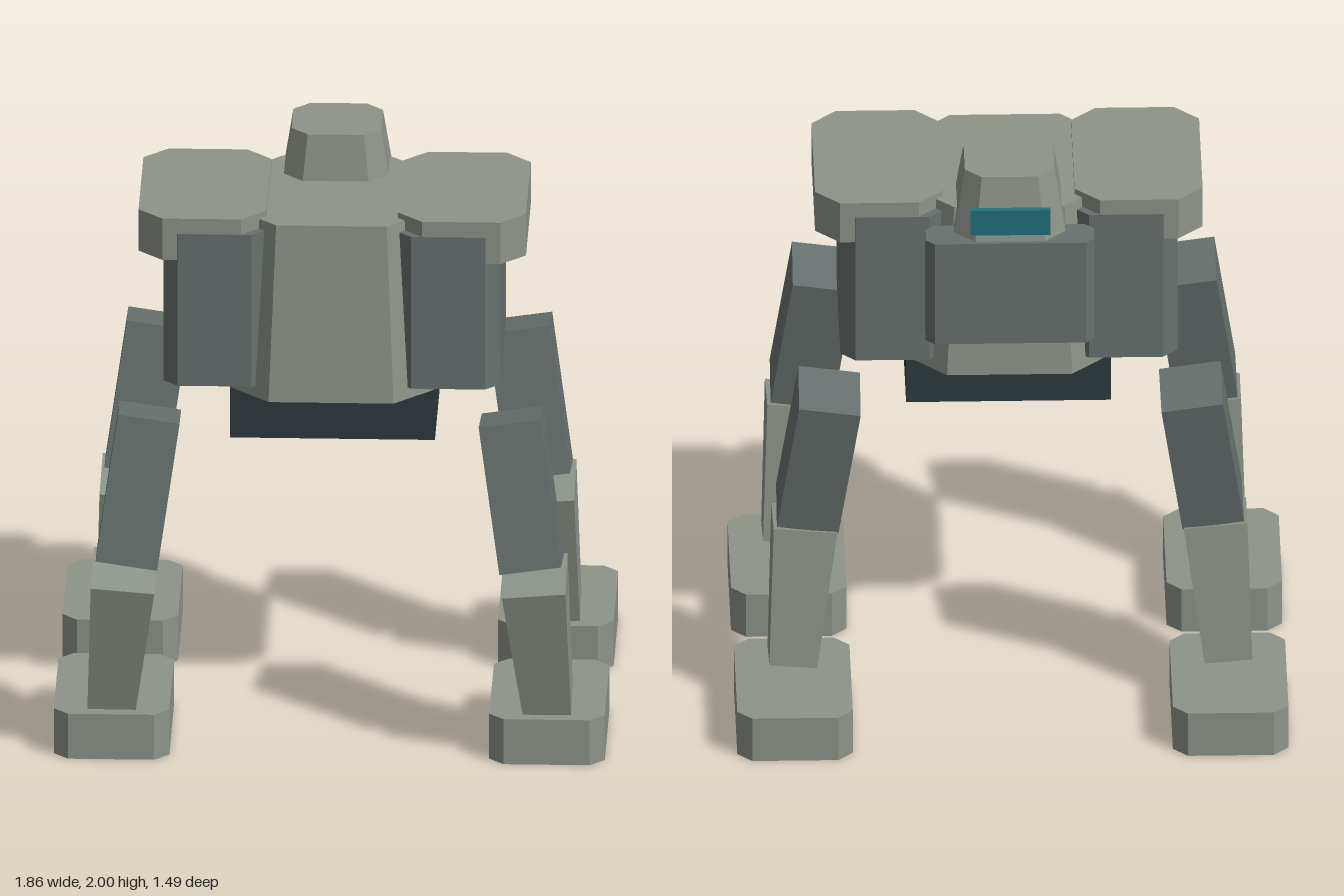
import * as THREE from 'three';

const paint = (color) => new THREE.MeshStandardMaterial({ color, flatShading: true });

export function createModel() {
  const model = new THREE.Group();
  const light = paint(0x8d9489), mid = paint(0x68716f), dark = paint(0x2e393e), teal = paint(0x22707c);

  // Upright block standing on y = 0, with cut vertical corners and a top scaled by taper.
  function block(w, h, d, cut = 0, taper = 1) {
    const x = w / 2, z = d / 2;
    let geo;
    if (cut > 0) {
      const corners = [
        [x - cut, -z], [x, -z + cut], [x, z - cut], [x - cut, z],
        [-x + cut, z], [-x, z - cut], [-x, -z + cut], [-x + cut, -z],
      ];
      const shape = new THREE.Shape(corners.map(([a, b]) => new THREE.Vector2(a, b)));
      geo = new THREE.ExtrudeGeometry(shape, { depth: h, bevelEnabled: false }).rotateX(-Math.PI / 2);
    } else {
      geo = new THREE.BoxGeometry(w, h, d).translate(0, h / 2, 0);
    }
    const p = geo.attributes.position;
    for (let i = 0; i < p.count; i++) {
      if (p.getY(i) > h / 2) {
        p.setX(i, p.getX(i) * taper);
        p.setZ(i, p.getZ(i) * taper);
      }
    }
    geo.computeVertexNormals();
    return geo;
  }

  function add(name, geo, material, x, y, z) {
    const mesh = new THREE.Mesh(geo, material);
    mesh.name = name;
    mesh.position.set(x, y, z);
    model.add(mesh);
    return mesh;
  }

  // Body
  add('pelvis', block(0.692, 0.24, 0.435), dark, 0, 1.03, 0.098);
  add('torso', block(0.682, 0.625, 0.725, 0.13, 0.885), light, 0, 1.215, 0.093);
  add('head', block(0.378, 0.24, 0.362, 0.07, 0.8), light, 0, 1.76, -0.166);
  add('visor', block(0.27, 0.095, 0.02), teal, 0, 1.81, -0.364);
  add('backpack', block(0.57, 0.385, 0.13, 0.03), mid, 0, 1.385, -0.295);

  // Limb segment whose axis runs between two points
  function limb(name, bottom, top, w, d, taper, material) {
    const axis = new THREE.Vector3().subVectors(top, bottom);
    const mesh = add(name, block(w, axis.length(), d, 0, taper), material, bottom.x, bottom.y, bottom.z);
    mesh.quaternion.setFromUnitVectors(new THREE.Vector3(0, 1, 0), axis.normalize());
  }

  for (const [side, s] of [['left', 1], ['right', -1]]) {
    // Shoulder pod, slightly proud of the pad above it
    add(side + 'Pod', block(0.35, 0.55, 0.648, 0.05), mid, s * 0.394, 1.255, 0.093);
    add(side + 'ShoulderPad', block(0.432, 0.15, 0.644, 0.083), light, s * 0.438, 1.71, 0.093);

    // Front and rear legs share one shape
    for (const [end, z] of [['Front', 0], ['Rear', -0.865]]) {
      const at = (x, y, dz) => new THREE.Vector3(s * x, y, z + dz);
      add(side + end + 'Foot', block(0.39, 0.163, 0.558, 0.05), light, s * 0.735, 0, z + 0.398);
      limb(side + end + 'Shin', at(0.735, 0.172, 0.53), at(0.693, 0.66, 0.615), 0.162, 0.203, 1.33, light);
      limb(side + end + 'Thigh', at(0.683, 0.70, 0.61), at(0.61, 1.2, 0.523), 0.21, 0.235, 1, mid);
    }
  }
  return model;
}
